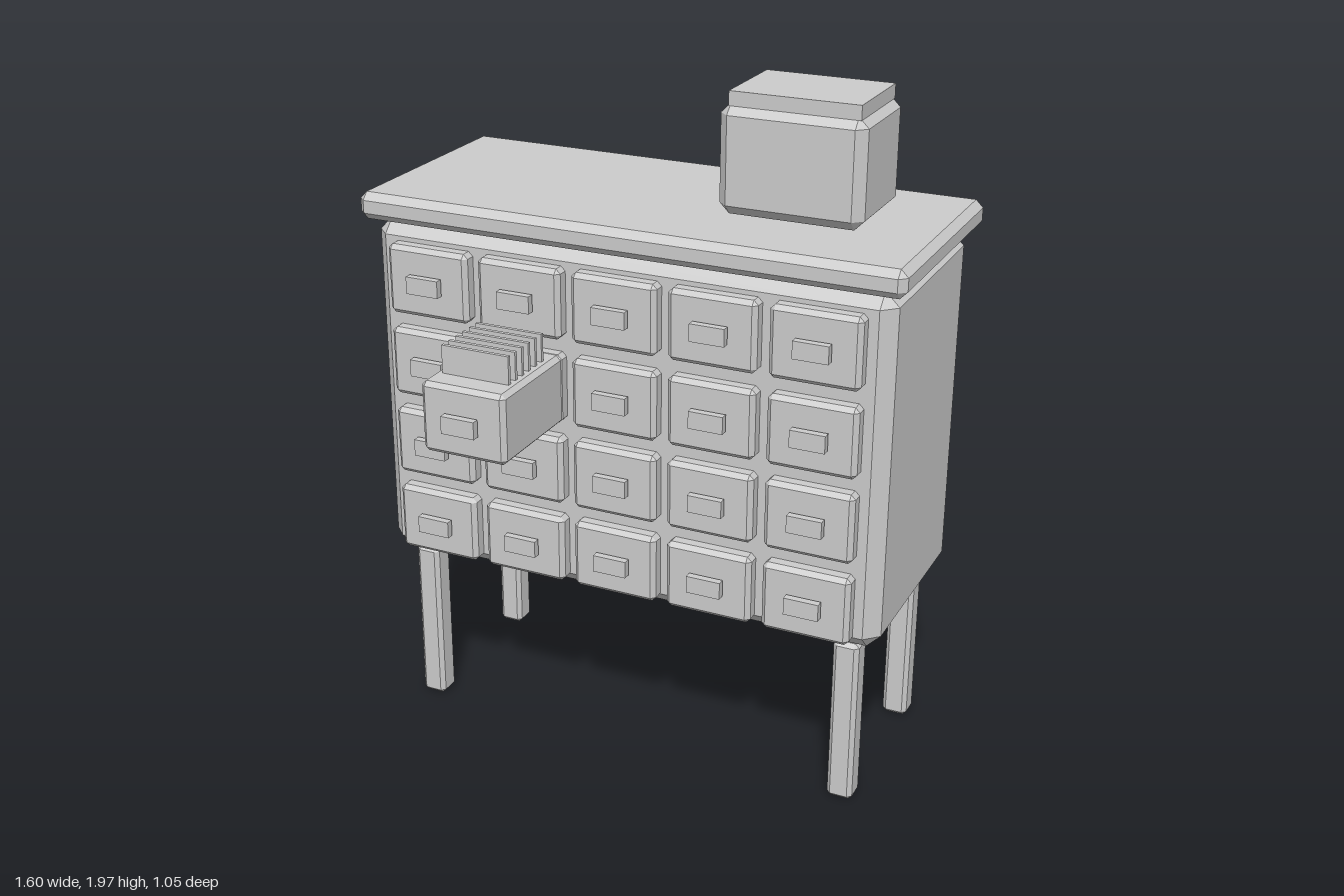
import * as THREE from 'three';
import { ConvexGeometry } from 'three/addons/geometries/ConvexGeometry.js';

const material = new THREE.MeshStandardMaterial({ color: 0xcccccc, flatShading: true });

// Box with all edges cut at 45 degrees by c
function chamferBox(w, h, d, c) {
  const points = [];
  for (const sx of [-1, 1]) for (const sy of [-1, 1]) for (const sz of [-1, 1]) {
    for (const axis of [0, 1, 2]) {
      const half = [w / 2 - c, h / 2 - c, d / 2 - c];
      half[axis] += c;
      points.push(new THREE.Vector3(sx * half[0], sy * half[1], sz * half[2]));
    }
  }
  return new ConvexGeometry(points);
}

// Adds a box spanning [min, max] on each axis; c is the chamfer, 0 for sharp edges
function addBox(parent, name, [x0, x1], [y0, y1], [z0, z1], c = 0) {
  const size = [x1 - x0, y1 - y0, z1 - z0];
  const geometry = c ? chamferBox(...size, c) : new THREE.BoxGeometry(...size);
  const mesh = new THREE.Mesh(geometry, material);
  mesh.name = name;
  mesh.position.set((x0 + x1) / 2, (y0 + y1) / 2, (z0 + z1) / 2);
  parent.add(mesh);
  return mesh;
}

const around = (center, size) => [center - size / 2, center + size / 2];

// Drawer front (or whole pulled-out drawer) with its label handle
function addDrawer(parent, name, x, y, back, front) {
  const drawer = new THREE.Group();
  drawer.name = name;
  addBox(drawer, 'drawerBody', around(x, 0.254), around(y, 0.203), [back, front], 0.013);
  addBox(drawer, 'drawerHandle', around(x, 0.1), around(y, 0.05), [front + 0.007, front + 0.029]);
  parent.add(drawer);
  return drawer;
}

export function createModel() {
  const model = new THREE.Group();
  model.name = 'cardCabinet';

  // Carcass and top
  addBox(model, 'cabinetBody', [-0.77, 0.77], [0.545, 1.574], [-0.489, 0.148], 0.04);
  addBox(model, 'cabinetTop', [-0.802, 0.802], [1.574, 1.653], [-0.523, 0.174], 0.021);

  // Legs
  for (const x of [-0.671, 0.671]) for (const z of [0.074, -0.421]) {
    addBox(model, 'leg', around(x, 0.075), [0.03, 0.538], around(z, 0.075), 0.012);
  }

  // Grid of closed drawers
  for (let row = 0; row < 4; row++) for (let col = 0; col < 5; col++) {
    addDrawer(model, 'drawer', (col - 2) * 0.2875, 1.419 - row * 0.2477, 0.135, 0.19);
  }

  // Pulled-out drawer with index cards
  const openX = -0.29;
  const open = addDrawer(model, 'openDrawer', openX, 1.17, 0.13, 0.499);
  for (let i = 0; i < 6; i++) {
    addBox(open, 'indexCard', around(openX, 0.203), [1.18, 1.352], around(0.236 + i * 0.0365, 0.011));
  }

  // Small box with a lid on the top
  addBox(model, 'smallBox', [0.204, 0.613], [1.667, 1.967], [-0.329, -0.022], 0.028);
  addBox(model, 'smallBoxLid', [0.228, 0.594], [1.96, 2.0], [-0.308, -0.043]);

  return model;
}
